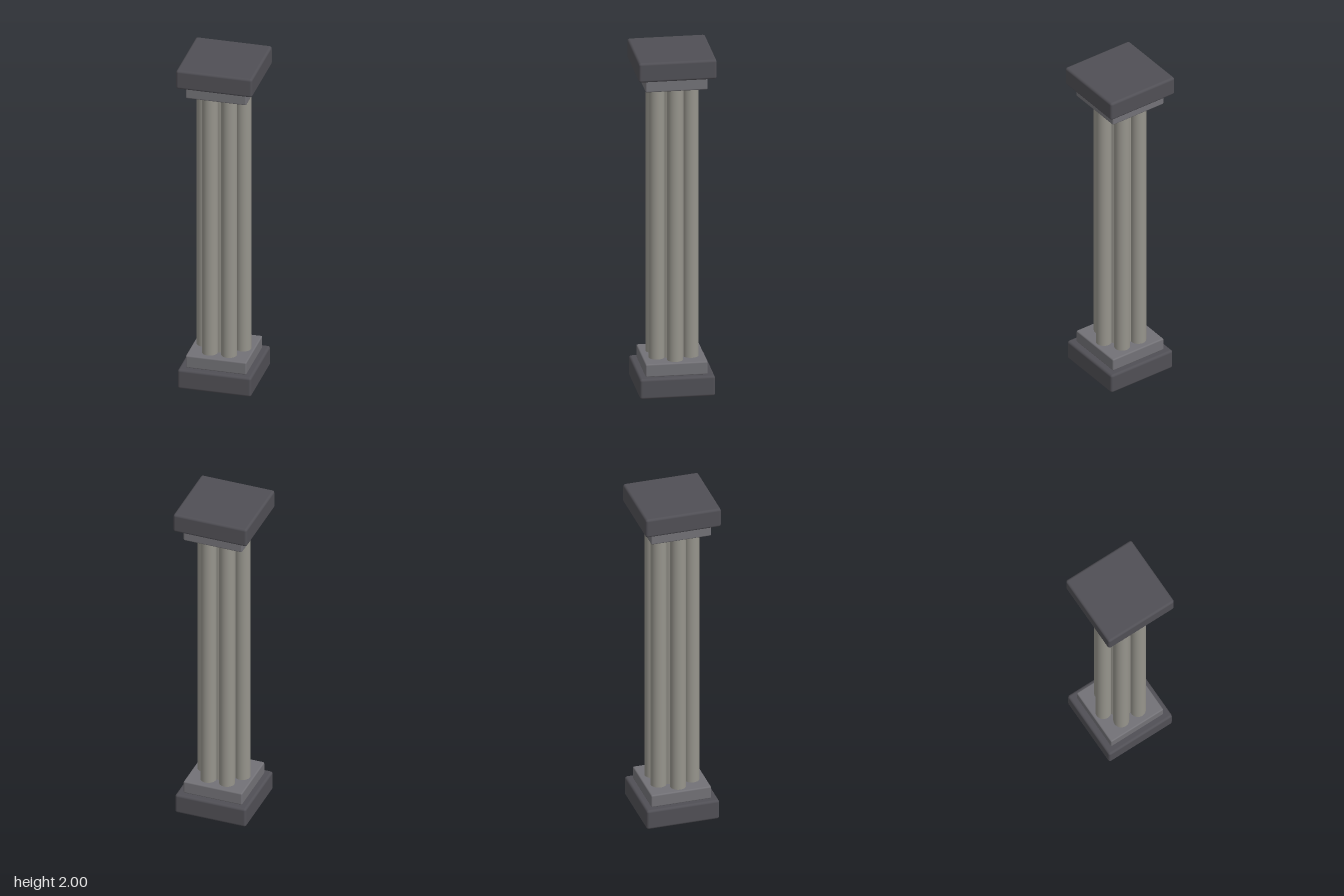
import * as THREE from 'three';
import { RoundedBoxGeometry } from 'three/addons/geometries/RoundedBoxGeometry.js';

const darkStone = new THREE.MeshStandardMaterial({ color: 0x504f55 });
const midStone = new THREE.MeshStandardMaterial({ color: 0x727176 });
const shaftStone = new THREE.MeshStandardMaterial({ color: 0x96948c });

// Square slab with softened edges, between two heights
function slab(name, width, y0, y1, radius, material) {
  const mesh = new THREE.Mesh(new RoundedBoxGeometry(width, y1 - y0, width, 3, radius), material);
  mesh.name = name;
  mesh.position.y = (y0 + y1) / 2;
  return mesh;
}

// Round upright shaft
function shaft(name, radius, x, z) {
  const y0 = 0.19, y1 = 1.815;
  const mesh = new THREE.Mesh(new THREE.CylinderGeometry(radius, radius, y1 - y0, 32), shaftStone);
  mesh.name = name;
  mesh.position.set(x, (y0 + y1) / 2, z);
  return mesh;
}

export function createModel() {
  const pillar = new THREE.Group();
  pillar.name = 'clusteredPillar';

  // Stepped base and capital
  pillar.add(
    slab('basePlinth', 0.426, 0, 0.12, 0.014, darkStone),
    slab('baseStep', 0.352, 0.118, 0.195, 0.008, midStone),
    slab('capitalStep', 0.352, 1.81, 1.887, 0.008, midStone),
    slab('capitalSlab', 0.442, 1.885, 2, 0.014, darkStone)
  );

  // Six shafts in a ring around a core
  pillar.add(shaft('coreShaft', 0.09, 0, 0));
  for (let i = 0; i < 6; i++) {
    const a = (i * Math.PI) / 3;
    pillar.add(shaft('ringShaft' + (i + 1), 0.045, Math.cos(a) * 0.112, Math.sin(a) * 0.112));
  }
  return pillar;
}
